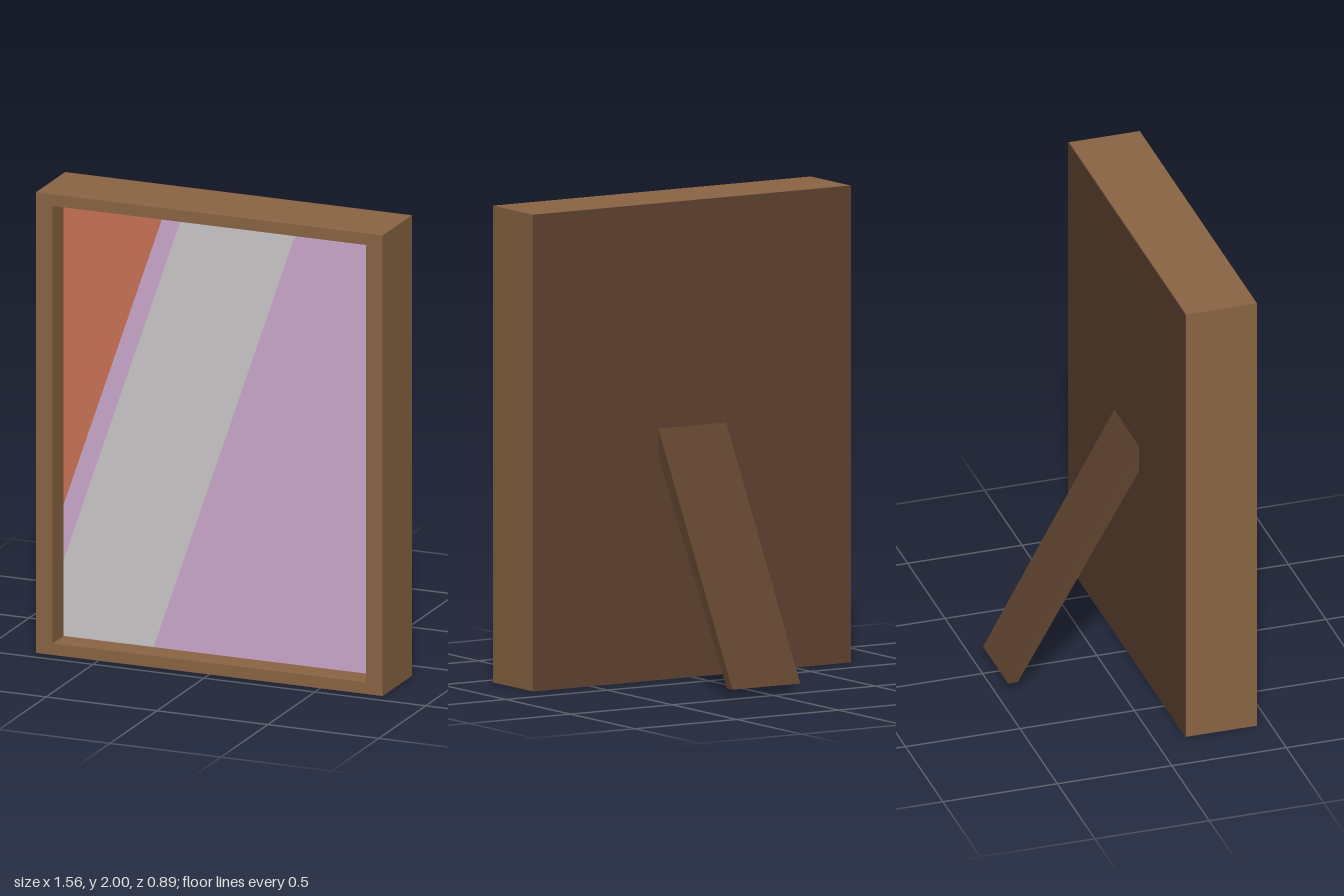
import * as THREE from 'three';

const material = (name, color, side = THREE.FrontSide) => {
  const m = new THREE.MeshStandardMaterial({ color, side });
  m.name = name;
  return m;
};

const polygon = (points) => new THREE.Shape(points.map(([x, y]) => new THREE.Vector2(x, y)));

const rectangle = (halfWidth, y0, y1) =>
  [[-halfWidth, y0], [halfWidth, y0], [halfWidth, y1], [-halfWidth, y1]];

export function createModel() {
  const model = new THREE.Group();
  model.name = 'photoFrame';

  const add = (name, geometry, mat, z = 0) => {
    const mesh = new THREE.Mesh(geometry, mat);
    mesh.name = name;
    mesh.position.z = z;
    model.add(mesh);
    return mesh;
  };

  const wood = material('frame wood', 0x8a6543);
  const backing = material('backing brown', 0x5f4131);
  const standWood = material('stand brown', 0x5f432e);
  const lavender = material('lavender', 0xcaa9cc, THREE.DoubleSide);
  const grey = material('pale grey', 0xccc8cb, THREE.DoubleSide);
  const orange = material('orange', 0xca7256, THREE.DoubleSide);

  const W = 0.782, H = 2, back = 0.13, front = 0.443, plate = 0.004;
  const w = 0.706, y0 = 0.05, y1 = 1.95, pictureZ = 0.327;

  // Deep frame with a rectangular opening
  const frame = polygon(rectangle(W, 0, H));
  frame.holes.push(polygon(rectangle(w, y0, y1)));
  add('frame', new THREE.ExtrudeGeometry(frame, {
    depth: front - back - plate, bevelEnabled: false,
  }), wood, back + plate);

  // Thin board closing the back
  const board = add('backBoard', new THREE.BoxGeometry(2 * W, H, plate), backing, back + plate / 2);
  board.position.y = H / 2;

  // Recessed picture, split into diagonal bands in one plane
  const bands = [
    ['pictureCorner', orange, [[-w, 0.62], [-0.25, y1], [-w, y1]]],
    ['pictureThinBand', lavender, [[-w, 0.38], [-0.167, y1], [-0.25, y1], [-w, 0.62]]],
    ['pictureWideBand', grey, [[-w, y0], [-0.3, y0], [0.35, y1], [-0.167, y1], [-w, 0.38]]],
    ['pictureField', lavender, [[-0.3, y0], [w, y0], [w, y1], [0.35, y1]]],
  ];
  for (const [name, mat, points] of bands) {
    add(name, new THREE.ShapeGeometry(polygon(points)), mat, pictureZ);
  }

  // Leaning stand: side outline in (-z, y), extruded across x
  const standWidth = 0.334;
  const stand = new THREE.ExtrudeGeometry(
    polygon([[-back, 0.94], [0.4, 0.03], [0.443, 0.03], [-back, 1.055]]),
    { depth: standWidth, bevelEnabled: false },
  );
  stand.translate(0, 0, -standWidth / 2);
  stand.rotateY(Math.PI / 2);
  add('stand', stand, standWood);

  return model;
}
